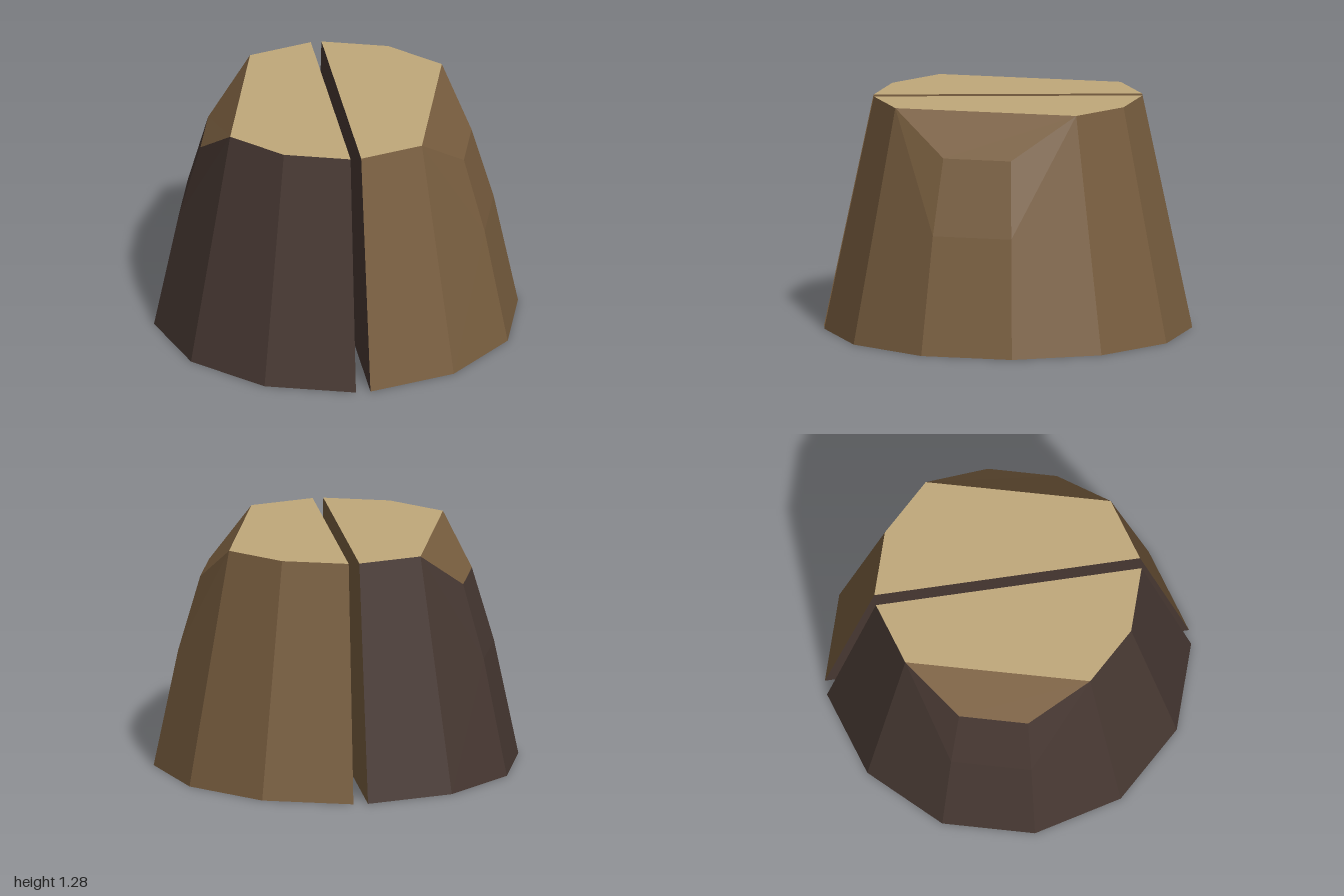
import * as THREE from 'three';

const H = 1.28; // height of the stump
const TAPER = 0.73; // top radius relative to the base

const heartwood = new THREE.MeshStandardMaterial({ color: 0xc0a87a });
const wood = new THREE.MeshStandardMaterial({ color: 0x7a5f40 });
const bark = new THREE.MeshStandardMaterial({ color: 0x483933 });
heartwood.name = 'pale cut wood';
wood.name = 'brown wood';
bark.name = 'dark bark';

// Flat-shaded mesh from convex polygons, each fanned into triangles
function facets(name, material, polygons) {
  const pos = [];
  for (const p of polygons)
    for (let i = 1; i < p.length - 1; i++) pos.push(...p[0], ...p[i], ...p[i + 1]);
  const geo = new THREE.BufferGeometry();
  geo.setAttribute('position', new THREE.Float32BufferAttribute(pos, 3));
  geo.computeVertexNormals();
  const mesh = new THREE.Mesh(geo, material);
  mesh.name = name;
  return mesh;
}

// Half of a tapered twelve-sided stump on the +x side, with a chipped top corner
function createHalf(name, outerMaterial, innerMaterial) {
  const rim = [[0.04, 1], [0.52, 0.85], [0.87, 0.49], [1, 0], [0.87, -0.49], [0.52, -0.85], [0.04, -1]];
  const level = (y, s) => rim.map(([x, z]) => [x * s, y, z * s]);
  const b = level(0, 1);
  const t = level(H, TAPER);
  const mid = level(0.64, 0.866); // lower edge of the worn facet
  const chip = level(1.05, 0.745); // lower edge of the chip

  const half = new THREE.Group();
  half.name = name;
  half.add(
    facets('outerSide', outerMaterial, [
      [b[0], b[1], t[1], t[0]],
      [b[1], b[2], mid[2], t[1]],
      [t[1], mid[2], chip[2]],
      [b[2], b[3], mid[3], mid[2]],
      [mid[2], mid[3], chip[3], chip[2]],
      [b[3], b[4], t[4], mid[3]],
      [mid[3], t[4], chip[3]],
      [b[4], b[5], t[5], t[4]],
      [b[5], b[6], t[6], t[5]],
    ]),
    facets('splitFace', innerMaterial, [[b[6], b[0], t[0], t[6]]]),
    facets('chippedCorner', wood, [[chip[2], chip[3], t[4], t[1]]]),
    facets('underside', wood, [[...b].reverse()]),
    facets('topCut', heartwood, [[t[0], t[1], t[4], t[5], t[6]]]),
  );
  return half;
}

export function createModel() {
  const group = new THREE.Group();
  group.name = 'splitStump';
  const left = createHalf('leftHalf', wood, bark);
  const right = createHalf('rightHalf', bark, wood);
  right.rotation.y = Math.PI;
  group.add(left, right);
  return group;
}
